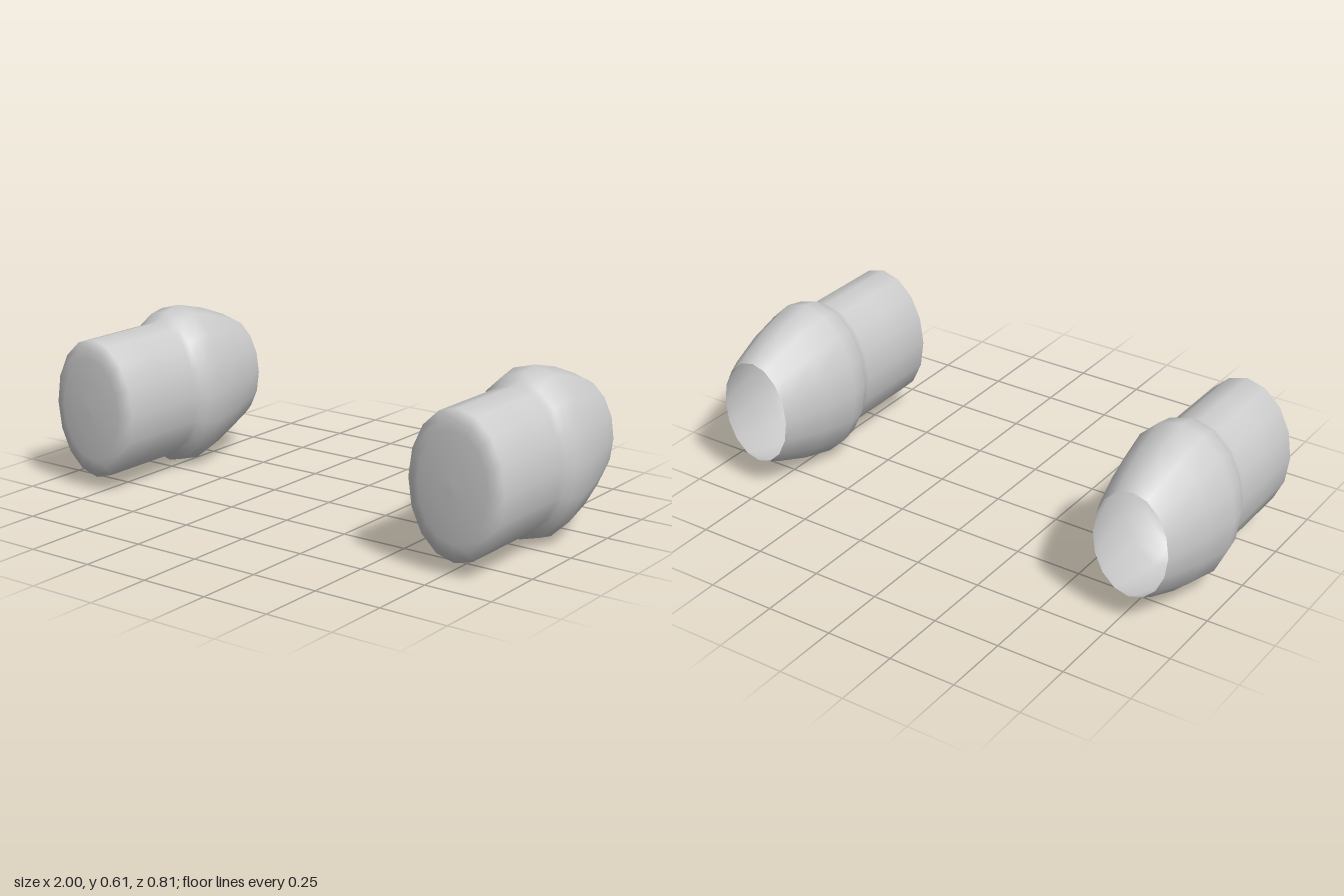
import * as THREE from 'three';

// Half-height of the oval body along z, from the open back to the domed front
const PROFILE = [
  [0.2, -0.406], [0.223, -0.36], [0.272, -0.23], [0.306, -0.095],
  [0.293, -0.028], [0.27, 0], [0.26, 0.03], [0.26, 0.2], [0.26, 0.379],
  [0.225, 0.394], [0.19, 0.4], [0.1, 0.406], [0, 0.408],
];
const SIDES = 16;
const WIDTH_RATIO = 0.706; // oval cross-section: width / height
const CENTRE_X = 0.784;
const CENTRE_Y = 0.307;

export function createModel() {
  const model = new THREE.Group();
  model.name = 'nozzlePair';

  // Thin open shell, turned so its axis lies along z and flattened in x
  const shell = new THREE.LatheGeometry(
    PROFILE.map(([r, z]) => new THREE.Vector2(r, z)), SIDES);
  shell.rotateX(Math.PI / 2);
  shell.scale(WIDTH_RATIO, 1, 1);

  const material = new THREE.MeshStandardMaterial({
    color: 0xcccccc, side: THREE.DoubleSide,
  });

  // One nozzle on each side
  for (const [name, side] of [['leftNozzle', 1], ['rightNozzle', -1]]) {
    const nozzle = new THREE.Mesh(shell, material);
    nozzle.name = name;
    nozzle.position.set(side * CENTRE_X, CENTRE_Y, 0);
    model.add(nozzle);
  }
  return model;
}
